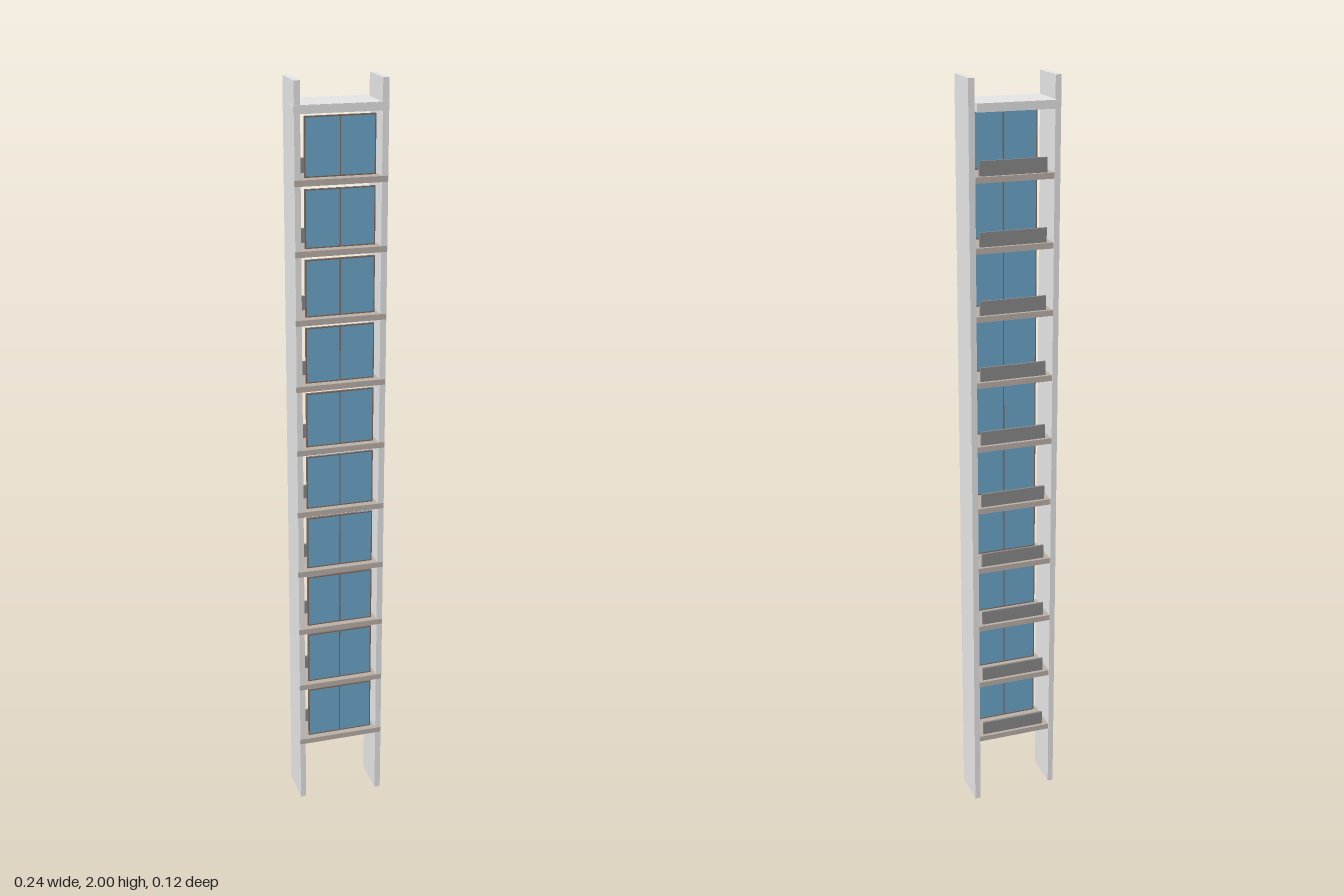
import * as THREE from 'three';

export function createModel() {
  const model = new THREE.Group();
  const mat = (name, color) => {
    const m = new THREE.MeshStandardMaterial({ color });
    m.name = name;
    return m;
  };
  const concrete = mat('light concrete', 0xe4e4e4);
  const slabMat = mat('warm grey slab', 0xb8aea6);
  const parapetMat = mat('dark grey parapet', 0x888888);
  const glass = mat('blue glass', 0x6ba5c8);
  const frameMat = mat('brown frame', 0x80695c);

  // Box given by its extents on each axis
  const box = (name, material, [x0, x1], [y0, y1], [z0, z1], parent = model) => {
    const mesh = new THREE.Mesh(new THREE.BoxGeometry(x1 - x0, y1 - y0, z1 - z0), material);
    mesh.position.set((x0 + x1) / 2, (y0 + y1) / 2, (z0 + z1) / 2);
    mesh.name = name;
    parent.add(mesh);
  };

  // Side walls
  box('rightWall', concrete, [-0.118, -0.103], [0.01, 2], [-0.045, 0.06]);
  box('leftWall', concrete, [0.102, 0.118], [0, 2], [-0.045, 0.06]);

  const floors = 10, base = 0.185, pitch = 0.174;
  for (let i = 0; i < floors; i++) {
    const floor = new THREE.Group();
    floor.name = 'floor' + (i + 1);
    floor.position.y = base + i * pitch;
    model.add(floor);

    // Slab, its front edge across the walls, and rear parapet
    box('slab', slabMat, [-0.104, 0.104], [0, 0.015], [-0.043, 0.06], floor);
    box('slabEdge', slabMat, [-0.1185, 0.117], [0, 0.015], [0.056, 0.061], floor);
    box('parapet', parapetMat, [-0.088, 0.088], [0.015, 0.052], [-0.034, -0.028], floor);

    // Two-pane window with a thin frame
    const y0 = 0.018, y1 = 0.164;
    box('glazing', glass, [-0.088, 0.088], [y0, y1], [0.042, 0.047], floor);
    for (const x of [-0.0885, 0, 0.0885])
      box('windowUpright', frameMat, [x - 0.0015, x + 0.0015], [y0, y1], [0.041, 0.048], floor);
    for (const y of [y0, y1 - 0.003])
      box('windowRail', frameMat, [-0.09, 0.09], [y, y + 0.003], [0.041, 0.048], floor);
  }

  // Roof slab, overhanging at the back, with a front beam through the walls
  const top = base + floors * pitch;
  box('roofSlab', concrete, [-0.102, 0.102], [top - 0.003, top + 0.018], [-0.062, 0.06]);
  box('roofBeam', concrete, [-0.12, 0.117], [top - 0.002, top + 0.017], [0.012, 0.061]);

  return model;
}
